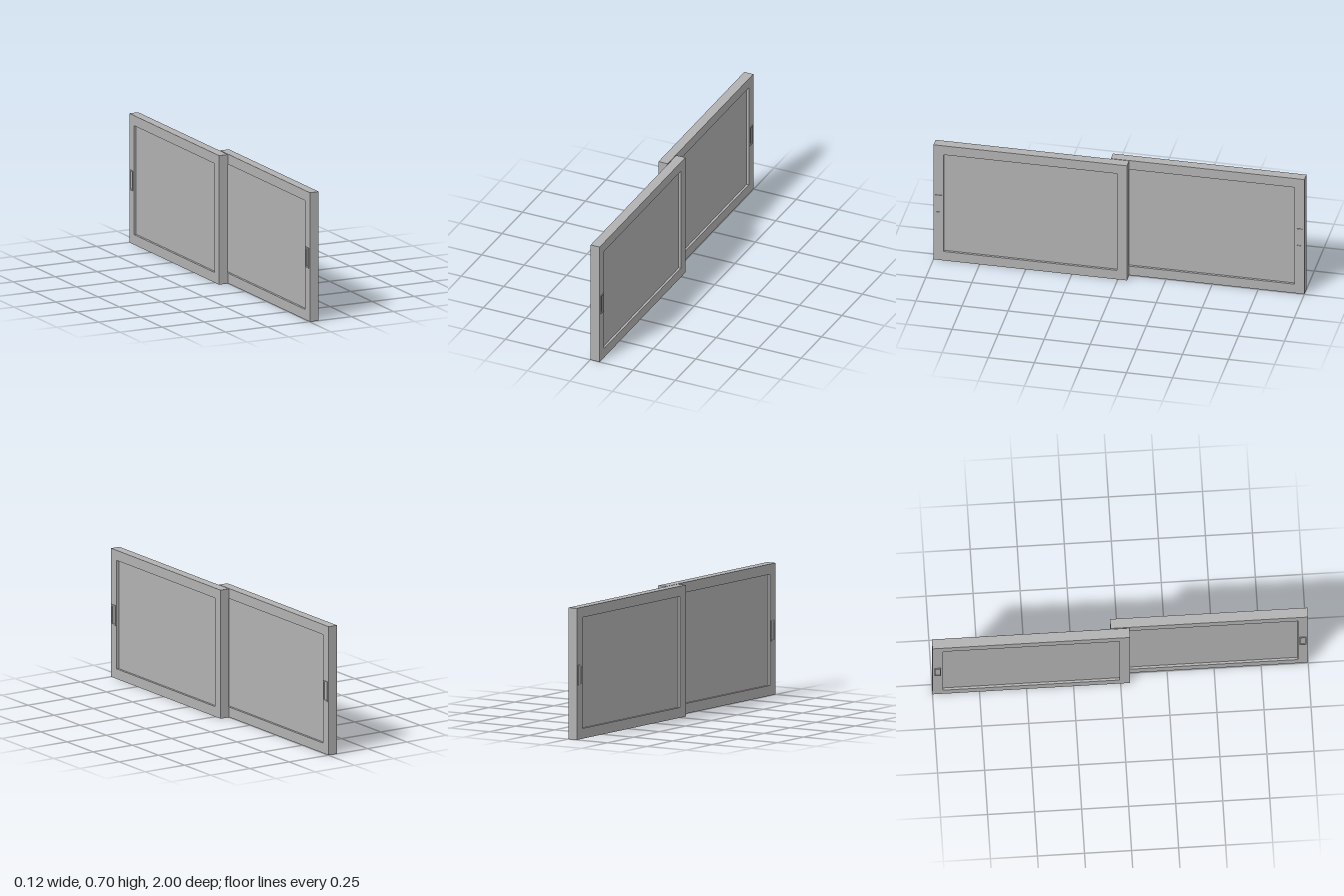
import * as THREE from 'three';

const HEIGHT = 0.705, LENGTH = 1.05, BORDER = 0.055;
const THICK = 0.053, INSET = 0.013;

function rect(target, w, h) {
  target.moveTo(-w / 2, -h / 2);
  target.lineTo(w / 2, -h / 2);
  target.lineTo(w / 2, h / 2);
  target.lineTo(-w / 2, h / 2);
  target.closePath();
  return target;
}

// rectangular ring lying in the y-z plane, centred on its own thickness
function ring(w, h, border, depth) {
  const shape = rect(new THREE.Shape(), w, h);
  shape.holes.push(rect(new THREE.Path(), w - 2 * border, h - 2 * border));
  const geo = new THREE.ExtrudeGeometry(shape, { depth, bevelEnabled: false });
  geo.translate(0, 0, -depth / 2);
  geo.rotateY(Math.PI / 2);
  return geo;
}

export function createModel() {
  const grey = new THREE.MeshStandardMaterial({ color: 0xb2b2b2 });
  grey.name = 'grey';
  const model = new THREE.Group();
  model.name = 'slidingWindow';

  function add(parent, name, geo, x, y, z) {
    const mesh = new THREE.Mesh(geo, grey);
    mesh.name = name;
    mesh.position.set(x, y, z);
    parent.add(mesh);
  }

  // two identical sashes, the second turned half way round
  for (const [name, turn] of [['leftSash', 0], ['rightSash', Math.PI]]) {
    const sash = new THREE.Group();
    sash.name = name;
    const x = 0.002 + THICK / 2, y = HEIGHT / 2, z = 0.475;
    add(sash, 'sashFrame', ring(LENGTH, HEIGHT, BORDER, THICK), x, y, z);

    // recessed pane
    add(sash, 'pane', new THREE.BoxGeometry(THICK - 2 * INSET,
      HEIGHT - 2 * BORDER, LENGTH - 2 * BORDER), x, y, z);

    // raised pull rim on both faces of the outer stile
    for (const side of [-1, 1]) {
      add(sash, 'pullRim', ring(0.036, 0.11, 0.007, 0.004),
        x + side * (THICK / 2 + 0.002), 0.345, 0.972);
    }
    sash.rotation.y = turn;
    model.add(sash);
  }
  return model;
}
